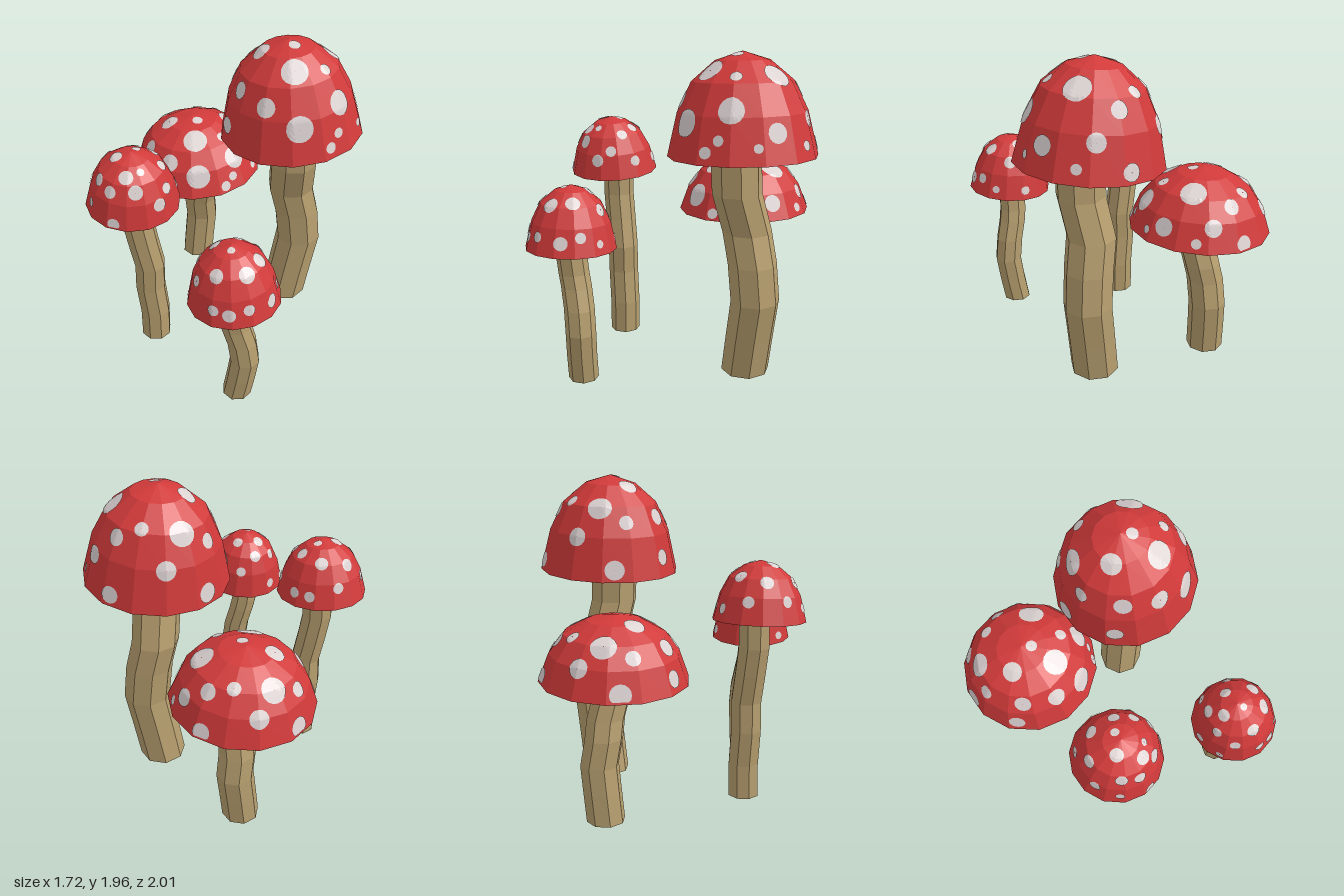
import * as THREE from 'three';

const mat = (name, color, side = THREE.FrontSide) => {
  const m = new THREE.MeshStandardMaterial({ color, side });
  m.name = name;
  return m;
};

// Faceted normals: every face gets its own corners
const faceted = (g) => {
  const f = g.toNonIndexed();
  f.computeVertexNormals();
  return f;
};

// Cap profile as fractions of rim radius and cap height
const PROFILE = [[0, 0], [1, 0], [0.86, 0.43], [0.67, 0.72], [0.36, 0.915], [0, 1]];

// Spots: x and z as seen from above, then size, all in rim radii
const BROAD_SPOTS = [
  [-0.35, -0.1, 0.14], [0.02, 0.14, 0.08], [-0.22, -0.62, 0.17], [0.27, -0.56, 0.09],
  [-0.16, 0.47, 0.18], [0.56, 0.07, 0.18], [0.26, 0.51, 0.08], [0.35, 0.74, 0.17],
  [-0.28, 0.82, 0.18], [-0.6, 0.5, 0.13], [-0.73, 0.04, 0.12], [-0.57, -0.5, 0.1],
  [0.0, -0.86, 0.13], [0.83, -0.25, 0.12], [0.57, -0.45, 0.11], [0.1, 0.94, 0.08],
  [0.68, 0.64, 0.06], [0.79, 0.4, 0.13], [0.93, -0.05, 0.07], [0.68, -0.66, 0.12],
  [-0.55, -0.76, 0.14], [-0.91, -0.08, 0.12], [0.25, 0.87, 0.07],
];
const SMALL_SPOTS = [
  [-0.24, -0.28, 0.14], [0.28, -0.25, 0.13], [-0.06, 0.14, 0.08], [0.44, 0.36, 0.16],
  [0.05, 0.62, 0.17], [-0.5, 0.38, 0.15], [-0.1, -0.62, 0.14], [0.28, -0.76, 0.12],
  [-0.55, -0.42, 0.12], [0.68, -0.2, 0.14], [-0.78, 0.0, 0.12], [0.76, 0.45, 0.12],
  [-0.05, 0.9, 0.12], [-0.7, 0.58, 0.12], [0.5, 0.76, 0.15], [-0.45, 0.8, 0.14],
  [0.92, 0.05, 0.09], [-0.5, -0.77, 0.12], [0.7, -0.62, 0.11], [-0.88, -0.32, 0.1],
];
const TALL_SPOTS = [
  [-0.29, -0.06, 0.14], [0.15, -0.12, 0.09], [-0.37, -0.58, 0.14], [0.2, -0.58, 0.14],
  [0.04, 0.46, 0.08], [-0.26, 0.46, 0.15], [0.5, -0.15, 0.13], [0.55, 0.25, 0.12],
  [-0.7, 0.08, 0.13], [-0.6, 0.45, 0.13], [-0.64, 0.7, 0.13], [0.3, 0.82, 0.14],
  [0.52, 0.6, 0.12], [0.76, -0.5, 0.12], [-0.75, -0.42, 0.12], [0.88, 0.2, 0.12],
  [-0.1, -0.86, 0.12], [-0.15, 0.7, 0.15], [0.5, -0.76, 0.12], [-0.9, 0.1, 0.1],
];

// Each stem point is x, y, z
const MUSHROOMS = [
  { name: 'largeMushroom', rim: [0.432, 1.375, 0.015], normal: [-0.06, 1, -0.05], R: 0.435, H: 0.59,
    spots: BROAD_SPOTS, r: 0.148,
    stem: [[0.464, 0.01, -0.013], [0.5, 0.25, -0.003], [0.54, 0.5, 0.008], [0.513, 0.73, 0.006],
      [0.466, 0.92, 0.0], [0.435, 1.16, 0.065], [0.425, 1.44, 0.07]] },
  { name: 'broadMushroom', rim: [0.04, 0.843, -0.578], normal: [-0.045, 1, -0.035], R: 0.432, H: 0.378,
    spots: BROAD_SPOTS, r: 0.114,
    stem: [[0.065, 0, -0.657], [0.083, 0.18, -0.66], [0.1, 0.34, -0.66], [0.08, 0.5, -0.638],
      [0.083, 0.61, -0.61], [0.07, 0.71, -0.58], [0.055, 0.9, -0.576]] },
  { name: 'tallMushroom', rim: [-0.595, 1.135, 0.017], normal: [0.01, 1, 0.065], R: 0.278, H: 0.352,
    spots: TALL_SPOTS, r: 0.097,
    stem: [[-0.516, 0.01, 0.03], [-0.513, 0.22, 0.03], [-0.53, 0.44, 0.02], [-0.525, 0.62, 0.025],
      [-0.553, 0.8, 0.01], [-0.576, 0.97, 0.0], [-0.573, 1.18, 0.0]] },
  { name: 'smallMushroom', rim: [-0.262, 0.86, 0.732], normal: [-0.025, 1, -0.075], R: 0.265, H: 0.368,
    spots: SMALL_SPOTS, r: 0.09,
    stem: [[-0.226, 0.02, 0.71], [-0.21, 0.18, 0.732], [-0.195, 0.34, 0.748], [-0.212, 0.49, 0.737],
      [-0.245, 0.62, 0.722], [-0.263, 0.7, 0.72], [-0.28, 0.91, 0.73]] },
];

// Eight-sided stem whose rings follow the bent path
function stemGeometry(path, r) {
  const n = path.length - 1;
  const g = new THREE.CylinderGeometry(1, 1, 1, 8, n);
  const p = g.attributes.position;
  for (let i = 0; i < p.count; i++) {
    const [x, y, z] = path[Math.round((p.getY(i) + 0.5) * n)];
    p.setXYZ(i, x + p.getX(i) * r, y, z + p.getZ(i) * r);
  }
  return faceted(g);
}

// Round patch laid over the faceted cap
function spotGeometry(cap, R, H, [sx, sz, size]) {
  const ray = new THREE.Raycaster();
  const hitFrom = (origin, dir) => {
    ray.set(origin, dir.normalize());
    return ray.intersectObject(cap)[0];
  };
  const centre = hitFrom(new THREE.Vector3(sx * R, 2, sz * R), new THREE.Vector3(0, -1, 0));
  if (!centre) return null;
  const n = new THREE.Vector3(sx, 0.5, sz).normalize().add(centre.face.normal).normalize();
  const u = new THREE.Vector3(0, 1, 0.01).cross(n).normalize();
  const v = n.clone().cross(u);
  const target = new THREE.Vector3(0, 0.1 * H, 0);
  const RINGS = 4, SIDES = 16;
  const g = new THREE.RingGeometry(0.001, size * R, SIDES, RINGS);
  const pos = g.attributes.position;
  for (let i = 0; i < pos.count; i++) {
    const p = centre.point.clone().addScaledVector(u, pos.getX(i)).addScaledVector(v, pos.getY(i));
    p.y = Math.max(p.y, 0.012);
    const dir = p.sub(target).normalize();
    const hit = hitFrom(target.clone().addScaledVector(dir, 3), dir.clone().negate());
    const q = hit.point.addScaledVector(hit.face.normal, 0.005);
    pos.setXYZ(i, q.x, q.y, q.z);
  }
  return faceted(g);
}

export function createModel() {
  const red = mat('capRed', 0xd23a3a);
  const pale = mat('spotPale', 0xdcd2d2, THREE.DoubleSide);
  const tan = mat('stemTan', 0xb8a070);
  const model = new THREE.Group();
  model.name = 'mushroomCluster';

  for (const { name, rim, normal, R, H, spots, r, stem } of MUSHROOMS) {
    const mushroom = new THREE.Group();
    mushroom.name = name;
    const stemMesh = new THREE.Mesh(stemGeometry(stem, r), tan);
    stemMesh.name = 'stem';

    // Cap with a flat underside
    const head = new THREE.Group();
    head.name = 'head';
    const points = PROFILE.map(([a, b]) => new THREE.Vector2(a * R, b * H));
    const cap = new THREE.Mesh(faceted(new THREE.LatheGeometry(points, 14)), red);
    cap.name = 'cap';

    // Spots over the top
    for (const s of spots) {
      const g = spotGeometry(cap, R, H, s);
      if (!g) continue;
      const spot = new THREE.Mesh(g, pale);
      spot.name = 'spot';
      head.add(spot);
    }

    // Small flecks around the underside
    for (let i = 0; i < 9; i++) {
      const a = i * 0.698 + 0.3, d = R * (i % 2 ? 0.86 : 0.78);
      const fleck = new THREE.Mesh(new THREE.CircleGeometry(R * 0.05, 8), pale);
      fleck.name = 'undersideFleck';
      fleck.rotation.x = Math.PI / 2;
      fleck.position.set(Math.cos(a) * d, -0.003, Math.sin(a) * d);
      head.add(fleck);
    }

    // Lean the cap
    head.add(cap);
    head.position.set(...rim);
    head.quaternion.setFromUnitVectors(new THREE.Vector3(0, 1, 0), new THREE.Vector3(...normal).normalize());
    mushroom.add(stemMesh, head);
    model.add(mushroom);
  }
  return model;
}
